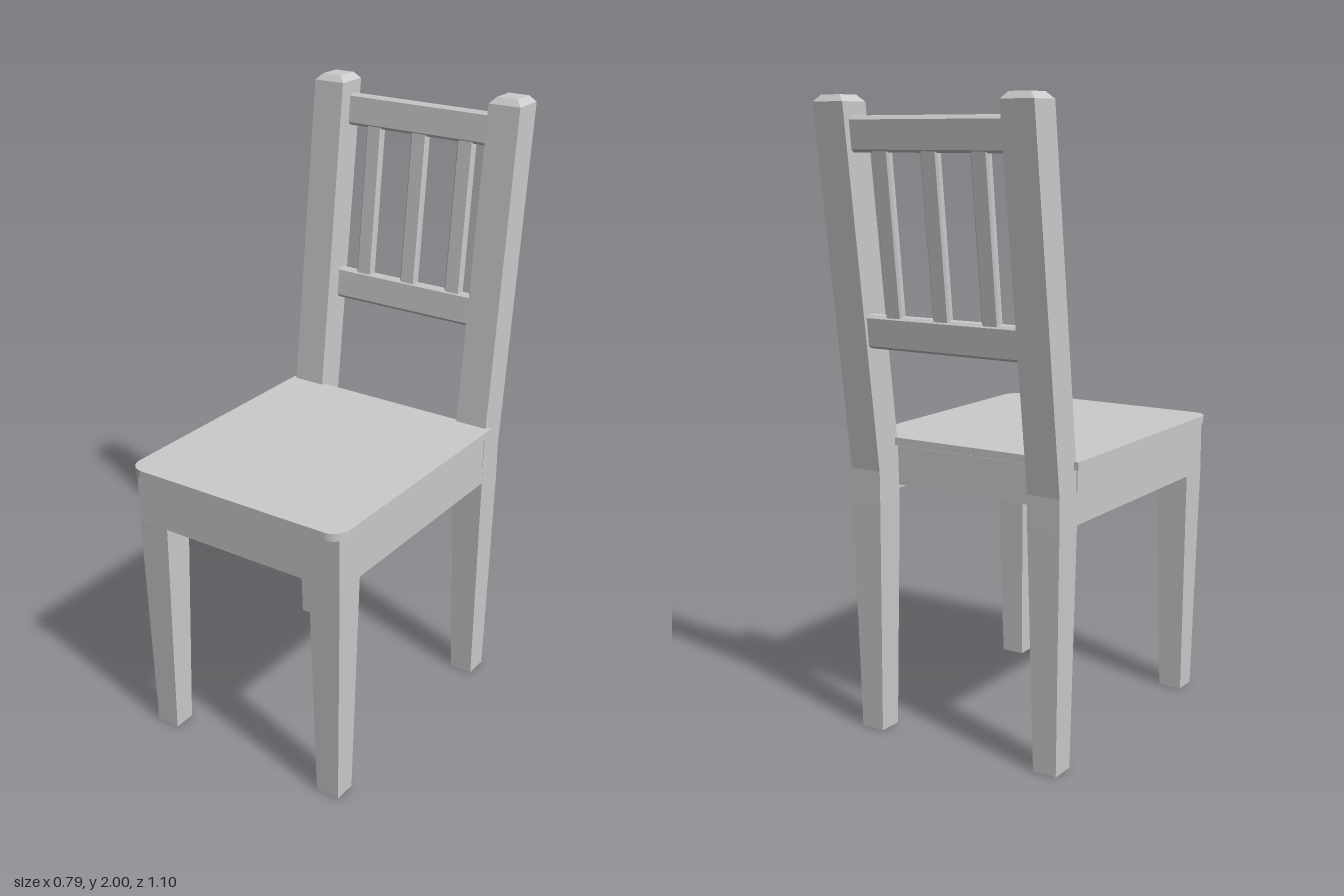
import * as THREE from 'three';

const material = new THREE.MeshStandardMaterial({ color: 0xcccccc, flatShading: true });

function addMesh(parent, name, geometry, x = 0, y = 0, z = 0) {
  const mesh = new THREE.Mesh(geometry, material);
  mesh.name = name;
  mesh.position.set(x, y, z);
  parent.add(mesh);
  return mesh;
}

// Loft through four-sided sections: [yFront, yBack, xInner, xOuter, zBack, zFront]
function loftPost(sections, side) {
  const points = [];
  const index = [];
  for (const [yF, yB, inner, outer, zB, zF] of sections) {
    const x0 = side > 0 ? inner : -outer;
    const x1 = side > 0 ? outer : -inner;
    points.push(x0, yF, zF, x1, yF, zF, x1, yB, zB, x0, yB, zB);
  }
  for (let s = 0; s < sections.length - 1; s++) {
    for (let i = 0; i < 4; i++) {
      const a = s * 4 + i;
      const b = s * 4 + (i + 1) % 4;
      index.push(a, b, b + 4, a, b + 4, a + 4);
    }
  }
  const t = (sections.length - 1) * 4;
  index.push(0, 2, 1, 0, 3, 2, t, t + 1, t + 2, t, t + 2, t + 3);
  const geometry = new THREE.BufferGeometry();
  geometry.setAttribute('position', new THREE.Float32BufferAttribute(points, 3));
  geometry.setIndex(index);
  const flat = geometry.toNonIndexed();
  flat.computeVertexNormals();
  return flat;
}

// Bar with chamfered long edges, running along z and centred
function chamferedBar(width, height, length, c) {
  const w = width / 2;
  const h = height / 2;
  const shape = new THREE.Shape([
    [-w + c, -h], [w - c, -h], [w, -h + c], [w, h - c],
    [w - c, h], [-w + c, h], [-w, h - c], [-w, -h + c],
  ].map(([x, y]) => new THREE.Vector2(x, y)));
  return new THREE.ExtrudeGeometry(shape, { depth: length, bevelEnabled: false })
    .translate(0, 0, -length / 2);
}

// Seat board with rounded front corners
function seatGeometry() {
  const w = 0.395, front = 0.55, back = 0.33, r = 0.055;
  const shape = new THREE.Shape();
  shape.moveTo(-w, back);
  shape.lineTo(-w, -front + r);
  shape.absarc(-w + r, -front + r, r, Math.PI, Math.PI * 1.5, false);
  shape.lineTo(w - r, -front);
  shape.absarc(w - r, -front + r, r, Math.PI * 1.5, Math.PI * 2, false);
  shape.lineTo(w, back);
  return new THREE.ExtrudeGeometry(shape, { depth: 0.025, bevelEnabled: false, curveSegments: 6 })
    .rotateX(-Math.PI / 2);
}

export function createModel() {
  const chair = new THREE.Group();
  chair.name = 'chair';

  addMesh(chair, 'seat', seatGeometry(), 0, 0.93, 0);

  // Legs and side aprons, mirrored
  for (const side of [1, -1]) {
    const label = side > 0 ? 'left' : 'right';
    addMesh(chair, label + 'FrontLeg', loftPost([
      [0, 0, 0.285, 0.365, 0.435, 0.51],
      [0.76, 0.76, 0.27, 0.38, 0.42, 0.525],
      [0.93, 0.93, 0.27, 0.38, 0.42, 0.525],
    ], side));
    addMesh(chair, label + 'BackPost', loftPost([
      [0, 0, 0.285, 0.365, -0.4, -0.32],
      [0.76, 0.76, 0.27, 0.38, -0.41, -0.31],
      [0.93, 0.86, 0.27, 0.38, -0.41, -0.315],
      [1.98, 1.98, 0.27, 0.38, -0.55, -0.443],
      [2, 2, 0.29, 0.36, -0.535, -0.46],
    ], side));
    addMesh(chair, label + 'Apron', new THREE.BoxGeometry(0.04, 0.17, 0.73),
      side * 0.36, 0.845, 0.055);
  }

  // Front and back aprons
  addMesh(chair, 'frontApron', new THREE.BoxGeometry(0.54, 0.17, 0.04), 0, 0.845, 0.505);
  addMesh(chair, 'backApron', new THREE.BoxGeometry(0.72, 0.125, 0.04), 0, 0.8625, -0.293);

  // Reclined backrest: two rails with three slats between them
  const backrest = new THREE.Group();
  backrest.name = 'backrest';
  backrest.position.set(0, 1.303, -0.436);
  backrest.rotation.x = -0.108;
  chair.add(backrest);
  const rail = chamferedBar(0.036, 0.104, 0.56, 0.009).rotateY(Math.PI / 2);
  addMesh(backrest, 'lowerRail', rail);
  addMesh(backrest, 'topRail', rail, 0, 0.588, 0);
  const slat = chamferedBar(0.06, 0.028, 0.5, 0.006).rotateX(-Math.PI / 2);
  for (const x of [-0.172, 0, 0.172]) addMesh(backrest, 'slat', slat, x, 0.294, 0);

  return chair;
}
